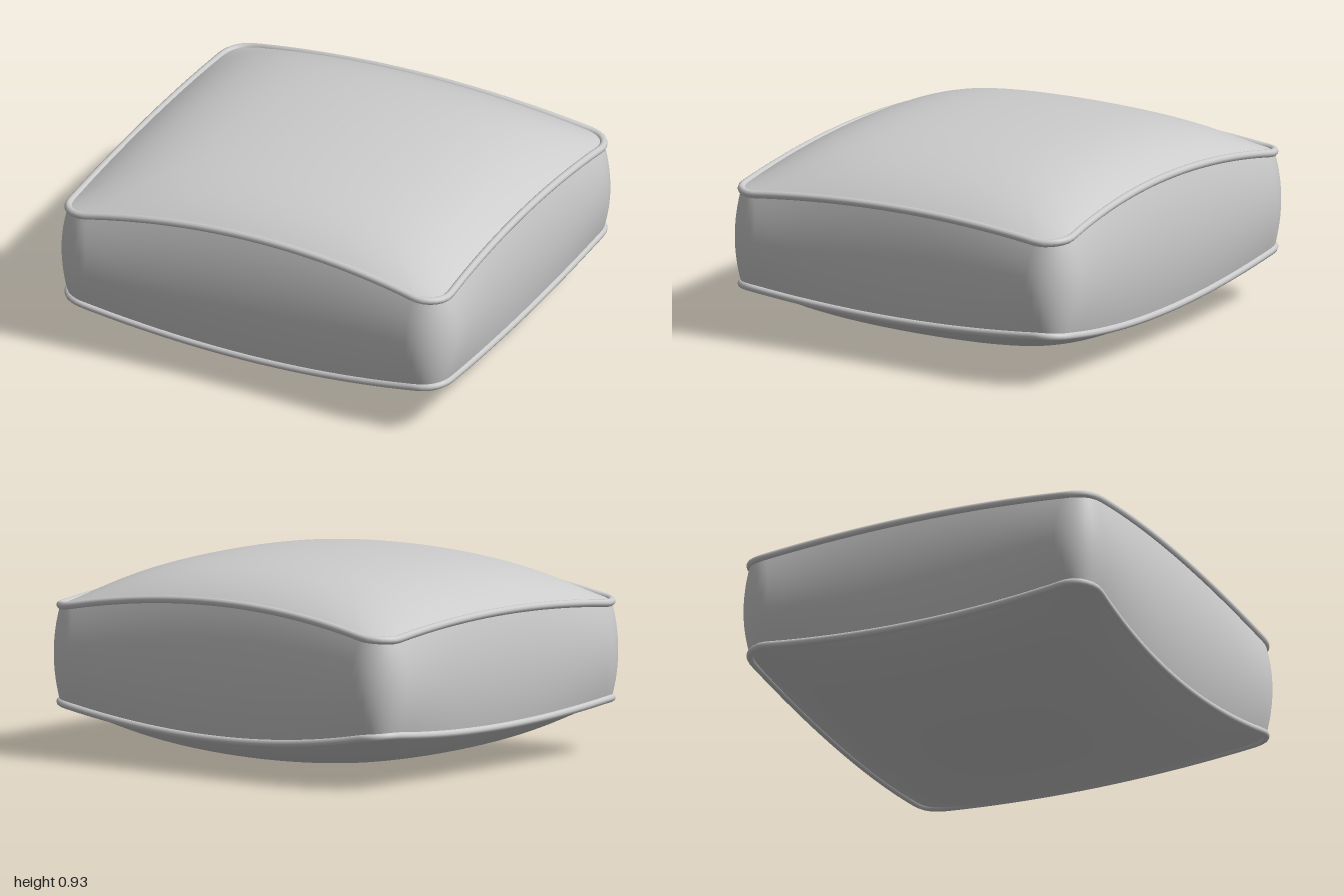
import * as THREE from 'three';

const HEIGHT = 0.935, MID = HEIGHT / 2;
const material = new THREE.MeshStandardMaterial({ color: 0xcccccc });

// Half sizes, corner radius and how far each side pinches in at its middle
const SEAM = { hx: 0.963, hz: 0.879, r: 0.13, px: 0.018, pz: 0.047 };
const BULGE = { hx: 1.008, hz: 0.92, r: 0.2, px: 0.033, pz: 0.043 };

// Pinched rounded rectangle, running from +x towards +z
function outline({ hx, hz, r, px, pz }) {
  const CORNER = 10, SIDE = 18, base = [];
  for (let q = 0; q < 4; q++) {
    const sx = q === 0 || q === 3 ? 1 : -1, sz = q < 2 ? 1 : -1;
    for (let i = 0; i <= CORNER; i++) {
      const a = (q + i / CORNER) * Math.PI / 2;
      base.push([sx * (hx - r) + r * Math.cos(a), sz * (hz - r) + r * Math.sin(a)]);
    }
    const [x0, z0] = base[base.length - 1];
    const end = [[-(hx - r), hz], [-hx, -(hz - r)], [hx - r, -hz], [hx, hz - r]][q];
    for (let i = 1; i < SIDE; i++) {
      const t = i / SIDE;
      base.push([x0 + (end[0] - x0) * t, z0 + (end[1] - z0) * t]);
    }
  }
  return base.map(([x, z]) => [
    x * (1 - px * (1 - (z / hz) ** 2)),
    z * (1 - pz * (1 - (x / hx) ** 2)),
  ]);
}

// Height of the crowned top above the ground
function crown(x, z) {
  const { hx, hz, px, pz } = SEAM;
  const u = Math.min(1, Math.abs(x) / (hx * (1 - px * (1 - (z / hz) ** 2))));
  const v = Math.min(1, Math.abs(z) / (hz * (1 - pz * (1 - (x / hx) ** 2))));
  return 0.672 + 0.108 * (1 - u * u) + 0.058 * (1 - v * v)
    + 0.097 * (1 - u ** 5) * (1 - v ** 5);
}

// Smooth skin over a list of closed rings
function loft(name, rings) {
  const n = rings[0].length, index = [];
  for (let i = 0; i < rings.length - 1; i++) {
    for (let j = 0; j < n; j++) {
      const a = i * n + j, b = i * n + (j + 1) % n;
      index.push(a, a + n, b, b, a + n, b + n);
    }
  }
  const geometry = new THREE.BufferGeometry();
  geometry.setAttribute('position', new THREE.Float32BufferAttribute(rings.flat(2), 3));
  geometry.setIndex(index);
  geometry.computeVertexNormals();
  const mesh = new THREE.Mesh(geometry, material);
  mesh.name = name;
  return mesh;
}

export function createModel() {
  const group = new THREE.Group();
  group.name = 'cushion';
  const seam = outline(SEAM), bulge = outline(BULGE);

  // Crowned panels, top and bottom
  const RINGS = 24, top = [];
  for (let k = 0; k <= RINGS; k++) {
    const s = Math.max(0.001, 1 - k / RINGS);
    top.push(seam.map(([x, z]) => [x * s, crown(x * s, z * s), z * s]));
  }
  const bottom = top.map(ring => ring.map(([x, y, z]) => [x, HEIGHT - y, z])).reverse();
  group.add(loft('topPanel', top), loft('bottomPanel', bottom));

  // Bulging side band between the two seams
  const STEPS = 16, band = [];
  for (let k = 0; k <= STEPS; k++) {
    const s = -1 + 2 * k / STEPS, w = 1 - s * s;
    band.push(seam.map(([x, z], j) => [
      x + (bulge[j][0] - x) * w,
      MID + (crown(x, z) - MID) * s,
      z + (bulge[j][1] - z) * w,
    ]));
  }
  group.add(loft('sideBand', band));

  // Piping cord along each seam
  for (const [name, ring] of [['topPiping', top[0]], ['bottomPiping', bottom[RINGS]]]) {
    const path = new THREE.CatmullRomCurve3(ring.map(p => new THREE.Vector3(...p)), true);
    const piping = new THREE.Mesh(new THREE.TubeGeometry(path, 240, 0.018, 10, true), material);
    piping.name = name;
    group.add(piping);
  }
  return group;
}
